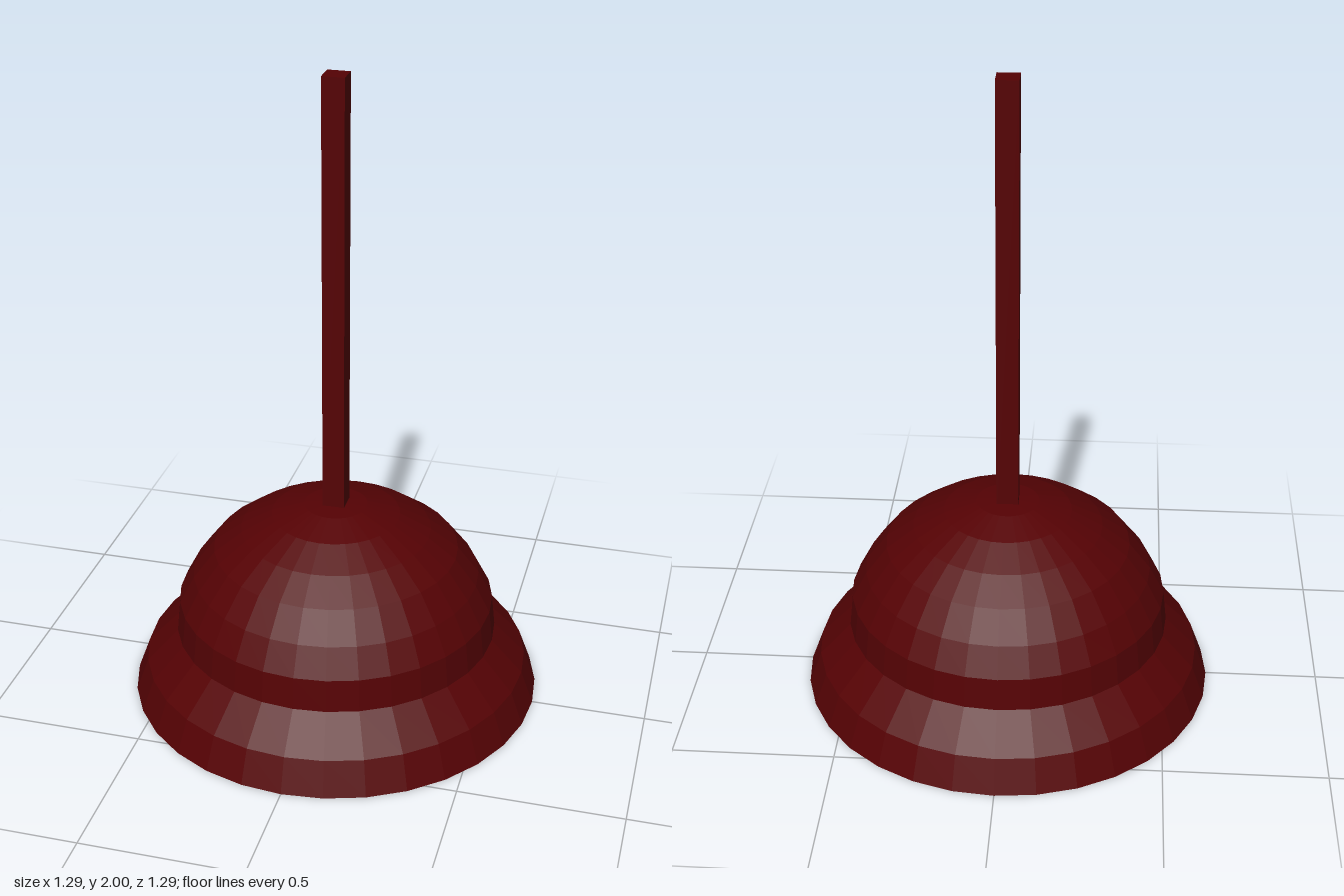
import * as THREE from 'three';

export function createModel() {
  const group = new THREE.Group();
  const darkRed = new THREE.MeshStandardMaterial({ color: 0x550204, flatShading: true, side: THREE.DoubleSide });
  darkRed.name = 'dark red';
  const yellow = new THREE.MeshStandardMaterial({ color: 0xd0cc00, flatShading: true });
  yellow.name = 'yellow';

  const add = (name, geometry, material, y = 0) => {
    const mesh = new THREE.Mesh(geometry, material);
    mesh.name = name;
    mesh.position.y = y;
    group.add(mesh);
  };
  // open shell turned around the upright axis, profile as [radius, height]
  const shell = (profile) =>
    new THREE.LatheGeometry(profile.map(([r, y]) => new THREE.Vector2(r, y)), 32);

  // flared lower rim, open underneath
  add('skirt', shell([[0.645, 0], [0.606, 0.106], [0.507, 0.21]]), darkRed);

  // rounded upper cup
  add('dome', shell([
    [0.507, 0.21], [0.496, 0.312], [0.45, 0.4], [0.383, 0.487],
    [0.297, 0.551], [0.2, 0.603], [0.098, 0.634], [0, 0.642],
  ]), darkRed);

  // square stick, its foot sunk through the dome
  add('handle', new THREE.BoxGeometry(0.068, 1.44, 0.068), darkRed, 1.28);

  // ball hanging inside the dome
  add('innerBall', new THREE.SphereGeometry(0.134, 32, 16), yellow, 0.455);

  return group;
}
